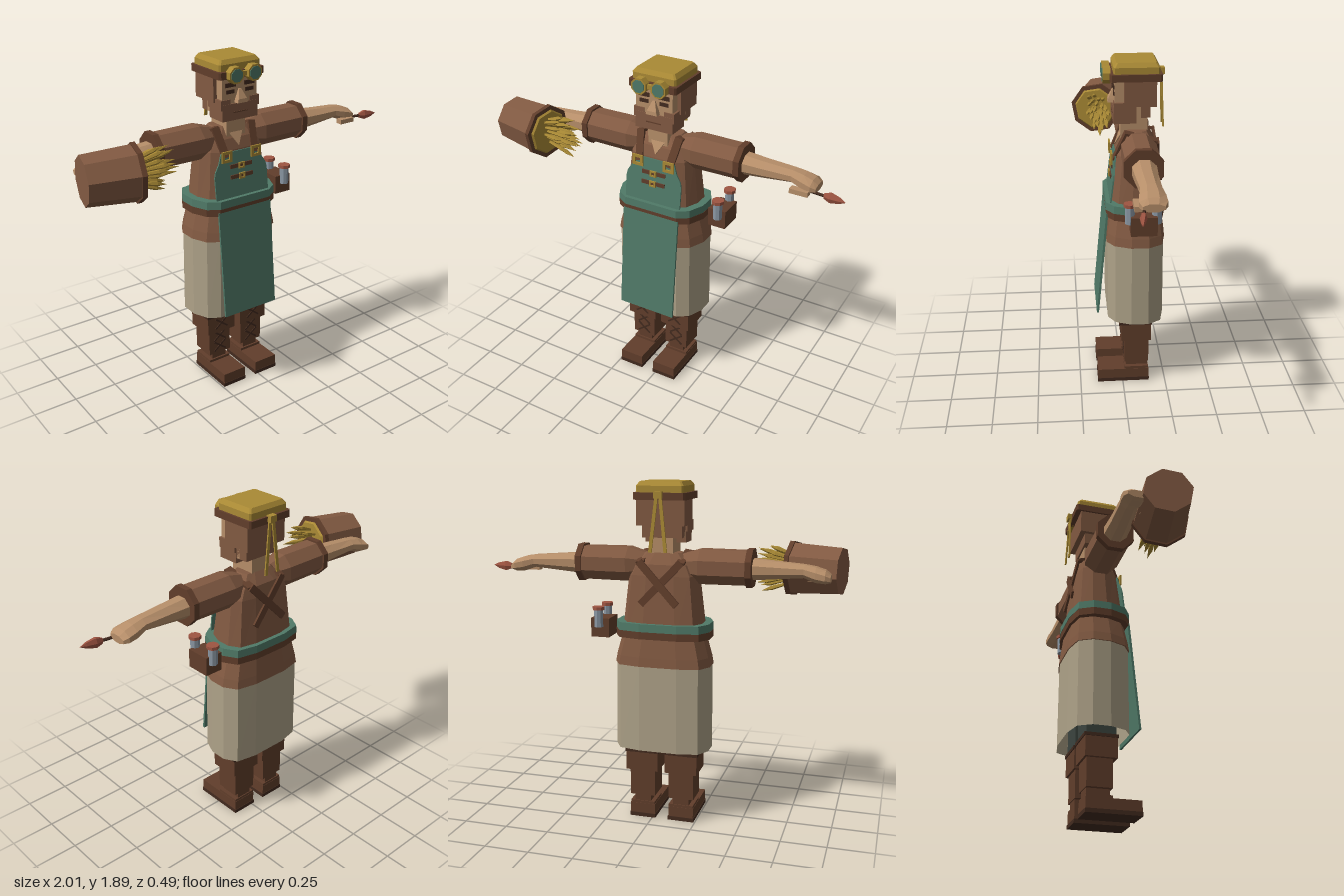
import * as THREE from 'three';

const M = {};
for (const [name, hex] of Object.entries({
  teal: 0x507a68, cream: 0xaea288, skin: 0xb68e69, tunicBrown: 0x825a42, leather: 0x613e2b,
  darkBrown: 0x432b1f, gold: 0xaa8a35, glass: 0x8b98a4, red: 0x9f5542, charcoal: 0x3c443f,
})) M[name] = new THREE.MeshStandardMaterial({ color: hex, name, flatShading: true });
M.cream.side = M.teal.side = THREE.DoubleSide;

// Cross-section outlines, unit size, front is v = 1
const mirrored = (half) => [...half, ...half.map(([u, v]) => [-u, v]).reverse()];
const BODY = mirrored([[0.62, 1], [0.86, 0.75], [1, 0.2], [1, -0.4], [0.84, -0.85], [0.4, -1]]);
const OCT = mirrored([[0.41, 1], [1, 0.41], [1, -0.41], [0.41, -1]]);
const SQUARE = mirrored([[0.93, 1], [1, 0.93], [1, -0.93], [0.93, -1]]);

function mesh(parent, name, geometry, material, pos = [0, 0, 0], rot = [0, 0, 0]) {
  const m = new THREE.Mesh(geometry, material);
  m.name = name;
  m.position.set(...pos);
  m.rotation.set(...rot);
  parent.add(m);
  return m;
}

// Box given by its low and high corners
function box(parent, name, material, [x0, x1], [y0, y1], [z0, z1]) {
  return mesh(parent, name, new THREE.BoxGeometry(x1 - x0, y1 - y0, z1 - z0), material,
    [(x0 + x1) / 2, (y0 + y1) / 2, (z0 + z1) / 2]);
}

// Skin through rings [y, half width, front z, back z, centre x]
function loft(outline, rings, capped = true) {
  const pos = [], n = outline.length;
  const pts = rings.map(([y, hw, zf, zb, cx = 0]) =>
    outline.map(([u, v]) => [cx + hw * u, y, (zf + zb) / 2 + v * (zf - zb) / 2]));
  const tri = (a, b, c) => pos.push(...a, ...b, ...c);
  for (let r = 0; r < pts.length - 1; r++) for (let i = 0; i < n; i++) {
    const j = (i + 1) % n, lo = pts[r], hi = pts[r + 1];
    tri(lo[i], lo[j], hi[j]);
    tri(lo[i], hi[j], hi[i]);
  }
  if (capped) for (let i = 1; i < n - 1; i++) {
    const lo = pts[0], hi = pts[pts.length - 1];
    tri(hi[0], hi[i], hi[i + 1]);
    tri(lo[0], lo[i + 1], lo[i]);
  }
  const g = new THREE.BufferGeometry();
  g.setAttribute('position', new THREE.Float32BufferAttribute(pos, 3));
  g.computeVertexNormals();
  return g;
}

// Flat strip from a to b, facing along z as far as possible
function strip(parent, name, material, a, b, width, thick = 0.008) {
  const A = new THREE.Vector3(...a), B = new THREE.Vector3(...b);
  const y = B.clone().sub(A), len = y.length();
  y.normalize();
  const x = y.clone().cross(new THREE.Vector3(0, 0, 1)).normalize();
  const m = mesh(parent, name, new THREE.BoxGeometry(width, len, thick), material,
    A.add(B).multiplyScalar(0.5).toArray());
  m.quaternion.setFromRotationMatrix(new THREE.Matrix4().makeBasis(x, y, x.clone().cross(y)));
  return m;
}

function plate(points, depth) {
  const shape = new THREE.Shape(points.map(([x, y]) => new THREE.Vector2(x, y)));
  return new THREE.ExtrudeGeometry(shape, { depth, bevelEnabled: false });
}

// Square buckle frame
function buckle(parent, x, y, z, w, h) {
  const shape = new THREE.Shape([[-1, -1], [1, -1], [1, 1], [-1, 1]].map(([u, v]) => new THREE.Vector2(u * w, v * h)));
  shape.holes.push(new THREE.Path([[-1, -1], [-1, 1], [1, 1], [1, -1]].map(([u, v]) => new THREE.Vector2(u * w * 0.5, v * h * 0.5))));
  mesh(parent, 'buckle', new THREE.ExtrudeGeometry(shape, { depth: 0.009, bevelEnabled: false }), M.gold, [x, y, z]);
}

function addLeg(body, side) {
  const leg = new THREE.Group();
  leg.name = side > 0 ? 'leftLeg' : 'rightLeg';
  leg.position.x = side * 0.112;
  body.add(leg);
  box(leg, 'sole', M.darkBrown, [-0.075, 0.075], [0, 0.022], [-0.155, 0.147]);
  box(leg, 'foot', M.leather, [-0.072, 0.072], [0.022, 0.08], [-0.152, 0.144]);
  box(leg, 'instep', M.leather, [-0.07, 0.07], [0.08, 0.095], [-0.15, -0.01]);
  box(leg, 'ankle', M.leather, [-0.046, 0.046], [0.09, 0.135], [-0.145, -0.02]);
  box(leg, 'shin', M.leather, [-0.072, 0.072], [0.132, 0.29], [-0.15, -0.01]);
  box(leg, 'bootCuff', M.leather, [-0.092, 0.092], [0.285, 0.395], [-0.162, 0.01]);
  box(leg, 'bootRim', M.darkBrown, [-0.097, 0.097], [0.393, 0.41], [-0.167, 0.015]);
  box(leg, 'trouserLeg', M.charcoal, [-0.085, 0.085], [0.4, 0.6], [-0.155, 0.005]);
  for (const [y, z] of [[0.345, 0.011], [0.25, -0.009], [0.18, -0.009]]) for (const s of [-1, 1])
    strip(leg, 'lace', M.darkBrown, [-0.04 * s, y - 0.032, z], [0.04 * s, y + 0.032, z], 0.01, 0.006);
}

function addArm(body, side) {
  const arm = new THREE.Group();
  arm.name = side > 0 ? 'leftArm' : 'rightArm';
  arm.position.set(0, 1.45, -0.08);
  arm.scale.x = side;
  body.add(arm);
  const along = [0, 0, -Math.PI / 2];
  const tube = (name, mat, rings) => mesh(arm, name, loft(OCT, rings), mat, [0, 0, 0], along);
  const round = (t, r) => [t, r, r, -r];
  tube('sleeve', M.tunicBrown, [round(0.09, 0.06), round(0.14, 0.075), round(0.2, 0.092), round(0.46, 0.09)]);
  tube('sleeveCuff', M.leather, [round(0.452, 0.1), round(0.485, 0.1)]);
  tube('forearm', M.skin, [[0.48, 0.056, 0.06, -0.065, 0.005], [0.6, 0.046, 0.055, -0.06, 0.005],
    [0.75, 0.034, 0.045, -0.06, 0.004], [0.81, 0.04, 0.055, -0.072, 0.02],
    [0.86, 0.034, 0.06, -0.075, 0.03], [0.887, 0.02, 0.045, -0.06, 0.038]]);
  box(arm, 'thumb', M.skin, [0.76, 0.86], [-0.066, -0.04], [0.04, 0.08]);
}

function addHead(body) {
  const head = new THREE.Group();
  head.name = 'head';
  body.add(head);
  box(head, 'neck', M.skin, [-0.06, 0.06], [1.42, 1.62], [-0.14, 0.005]);
  box(head, 'face', M.skin, [-0.11, 0.11], [1.6, 1.83], [-0.1, 0.04]);
  box(head, 'hair', M.tunicBrown, [-0.131, 0.131], [1.665, 1.83], [-0.18, -0.01]);
  box(head, 'napeHair', M.tunicBrown, [-0.11, 0.11], [1.6, 1.67], [-0.15, -0.05]);
  box(head, 'beard', M.tunicBrown, [-0.113, 0.113], [1.57, 1.66], [-0.075, 0.047]);
  box(head, 'mouth', M.leather, [-0.045, 0.045], [1.61, 1.616], [0.045, 0.05]);
  for (const s of [-1, 1]) {
    const cheek = box(head, 'sideburn', M.tunicBrown, [0.06, 0.122], [1.63, 1.685], [-0.075, 0.045]);
    cheek.position.x *= s;
    box(head, 'eye', M.darkBrown, [s * 0.06 - 0.026, s * 0.06 + 0.026], [1.715, 1.735], [0.038, 0.044]);
    box(head, 'eyebrow', M.darkBrown, [s * 0.06 - 0.032, s * 0.06 + 0.032], [1.75, 1.772], [0.038, 0.046]);
    mesh(head, 'goggleFrame', new THREE.CylinderGeometry(0.046, 0.046, 0.04, 8), M.gold, [s * 0.058, 1.822, 0.08], [Math.PI / 2, Math.PI / 8, 0]);
    mesh(head, 'goggleLens', new THREE.CylinderGeometry(0.036, 0.036, 0.006, 8), M.teal, [s * 0.058, 1.822, 0.101], [Math.PI / 2, Math.PI / 8, 0]);
    strip(head, 'ribbon', M.gold, [s * 0.008, 1.84, -0.215], [s * 0.042, 1.53, -0.226], 0.018);
  }
  box(head, 'goggleBridge', M.gold, [-0.02, 0.02], [1.81, 1.834], [0.06, 0.085]);
  box(head, 'ribbonKnot', M.gold, [-0.022, 0.022], [1.81, 1.845], [-0.232, -0.2]);
  mesh(head, 'nose', loft(SQUARE, [[1.665, 0.034, 0.072, 0.03], [1.685, 0.028, 0.07, 0.03], [1.735, 0.008, 0.045, 0.03]]), M.skin);
  mesh(head, 'cap', loft(SQUARE, [[1.8, 0.129, 0.046, -0.196], [1.872, 0.129, 0.046, -0.196], [1.895, 0.112, 0.03, -0.18]]), M.gold);
  mesh(head, 'capBand', loft(SQUARE, [[1.8, 0.142, 0.066, -0.21], [1.838, 0.142, 0.066, -0.21]]), M.leather);
}

function addClothes(body) {
  mesh(body, 'skirt', loft(BODY, [[0.43, 0.265, 0.085, -0.235], [0.92, 0.26, 0.084, -0.232]], false), M.cream);
  mesh(body, 'tunicHem', loft(BODY, [[0.91, 0.267, 0.09, -0.237], [0.96, 0.258, 0.084, -0.232], [1.08, 0.225, 0.064, -0.216]]), M.tunicBrown);
  mesh(body, 'torso', loft(BODY, [[1.07, 0.228, 0.066, -0.216], [1.4, 0.19, 0.03, -0.19],
    [1.46, 0.16, 0.012, -0.18], [1.52, 0.1, -0.03, -0.14]]), M.tunicBrown);
  mesh(body, 'belt', loft(BODY, [[1.062, 0.263, 0.092, -0.233], [1.102, 0.263, 0.092, -0.233]]), M.leather);
  mesh(body, 'sash', loft(BODY, [[1.102, 0.262, 0.094, -0.235], [1.145, 0.26, 0.092, -0.233]]), M.teal);
  mesh(body, 'openCollar', plate([[0, 0], [0.05, 0.088], [-0.05, 0.088]], 0.005), M.skin, [0, 1.42, 0.031], [-0.42, 0, 0]);

  // Apron skirt and bib
  strip(body, 'apronSkirt', M.teal, [0, 0.465, 0.143], [0, 1.08, 0.086], 0.346, 0.012);
  const bib = mirrored([[0.172, 0], [0.172, 0.17], [0.165, 0.2], [0.14, 0.24], [0.12, 0.296]].reverse()).reverse();
  mesh(body, 'apronBib', plate(bib, 0.008), M.teal, [0, 1.1, 0.067], [-0.117, 0, 0]);
  const bibZ = (y) => 0.079 - 0.117 * (y - 1.1);
  for (const y of [1.315, 1.257]) {
    box(body, 'bibStrap', M.leather, [-0.072, 0.072], [y - 0.011, y + 0.011], [bibZ(y) - 0.006, bibZ(y) + 0.002]);
    buckle(body, 0, y, bibZ(y), 0.019, 0.017);
  }

  // Shoulder straps crossing at the back
  for (const s of [-1, 1]) {
    strip(body, 'frontStrap', M.leather, [s * 0.093, 1.37, 0.046], [s * 0.118, 1.525, -0.02], 0.045, 0.014);
    strip(body, 'shoulderStrap', M.leather, [s * 0.118, 1.52, -0.02], [s * 0.11, 1.47, -0.188], 0.045, 0.014);
    strip(body, 'backStrap', M.leather, [s * 0.115, 1.475, -0.19 - s * 0.002], [-s * 0.1, 1.25, -0.216 - s * 0.002], 0.04, 0.012);
    buckle(body, s * 0.095, 1.378, 0.053, 0.033, 0.031);
  }
}

function addBucket(root) {
  const bucket = new THREE.Group();
  bucket.name = 'bucket';
  bucket.position.set(-0.85, 1.432, 0.08);
  bucket.quaternion.setFromUnitVectors(new THREE.Vector3(0, 1, 0), new THREE.Vector3(0.983, 0, 0.182));
  root.add(bucket);
  const turn = [0, Math.PI / 8, 0];
  mesh(bucket, 'bucketBody', new THREE.CylinderGeometry(0.145, 0.129, 0.28, 8), M.tunicBrown, [0, 0, 0], turn);
  mesh(bucket, 'bucketRim', new THREE.CylinderGeometry(0.153, 0.153, 0.025, 8), M.leather, [0, 0.13, 0], turn);
  mesh(bucket, 'strawBed', new THREE.CylinderGeometry(0.12, 0.13, 0.012, 8), M.gold, [0, 0.147, 0], turn);
  // Straw stalks: local x is down, local z is forward
  const stalk = new THREE.LatheGeometry([[0, 0], [0.007, 0], [0.013, 0.65], [0, 1]].map(([x, y]) => new THREE.Vector2(x, y)), 5);
  for (let i = 0; i < 24; i++) {
    const a = i * 2.4, r = Math.sqrt((i + 0.5) / 24);
    const u = r * Math.cos(a), v = r * Math.sin(a);
    const m = mesh(bucket, 'straw', stalk, M.gold, [u * 0.085, 0.14, v * 0.055 - 0.015]);
    m.scale.y = 0.25 - 0.09 * r - 0.02 * (i % 3);
    m.quaternion.setFromUnitVectors(new THREE.Vector3(0, 1, 0), new THREE.Vector3(u * 0.38, 1, v * 0.1 - 0.1).normalize());
  }
}

function addBottles(root) {
  const rack = new THREE.Group();
  rack.name = 'bottleRack';
  root.add(rack);
  box(rack, 'rackBox', M.leather, [0.243, 0.347], [1.045, 1.15], [-0.165, -0.025]);
  for (const z of [-0.022, -0.165]) {
    mesh(rack, 'bottle', new THREE.CylinderGeometry(0.026, 0.026, 0.095, 8), M.glass, [0.302, 1.15, z]);
    mesh(rack, 'bottleCap', new THREE.CylinderGeometry(0.034, 0.034, 0.018, 8), M.red, [0.302, 1.207, z]);
  }
}

function addBrush(root) {
  const brush = new THREE.Group();
  brush.name = 'paintBrush';
  brush.position.set(0.8, 1.4, -0.045);
  brush.rotation.set(0, -0.12, -Math.PI / 2);
  root.add(brush);
  mesh(brush, 'brushHandle', new THREE.CylinderGeometry(0.008, 0.008, 0.12, 6), M.darkBrown, [0, 0.04, 0]);
  const tip = [[0, 0.075], [0.016, 0.08], [0.03, 0.115], [0.018, 0.165], [0, 0.2]];
  mesh(brush, 'brushTip', new THREE.LatheGeometry(tip.map(([x, y]) => new THREE.Vector2(x, y)), 6), M.red).scale.z = 0.6;
}

export function createModel() {
  const root = new THREE.Group();
  root.name = 'craftsman';
  const body = new THREE.Group();
  body.name = 'body';
  body.position.x = -0.055;
  root.add(body);
  for (const side of [-1, 1]) {
    addLeg(body, side);
    addArm(body, side);
  }
  addClothes(body);
  addHead(body);
  addBucket(root);
  addBottles(root);
  addBrush(root);
  return root;
}
